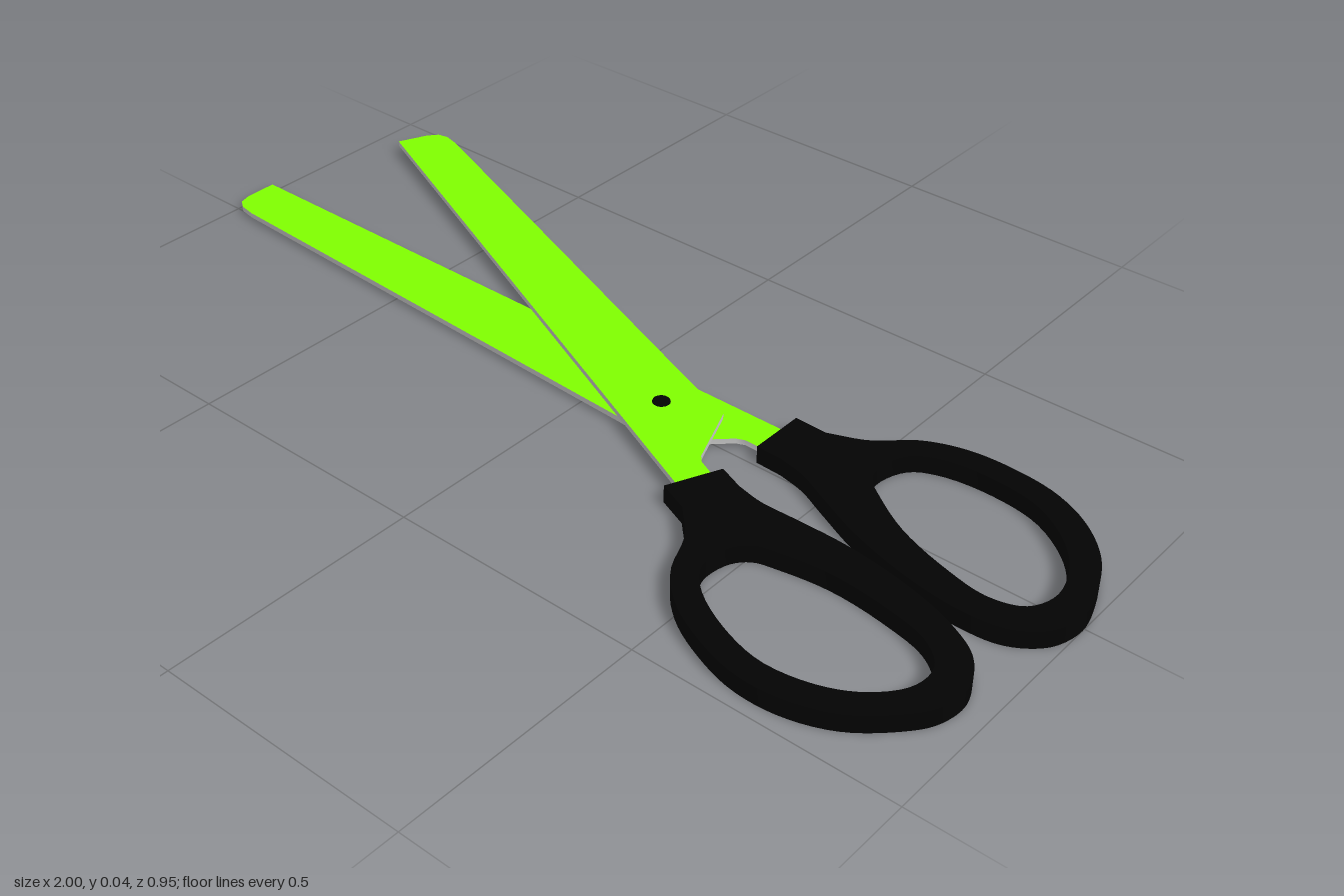
import * as THREE from 'three';
import { toCreasedNormals } from 'three/addons/utils/BufferGeometryUtils.js';

const material = (color) => new THREE.MeshStandardMaterial({ color });
const green = material(0x80ff00);
const steel = material(0x949494);
const brightSteel = material(0xcccccc);
const black = material(0x030303);
const navy = material(0x34466f);

// Plan outlines as [x, z]; the hole runs the opposite way round to the outlines
const bladeOutline = [
  [-1, -0.095], [-1, -0.03], [-0.993, -0.005], [-0.975, 0.008], [-0.94, 0.014],
  [0.1, 0.064], [0.2, 0.071], [0.294, -0.021], [0.31, -0.028], [0.42, -0.028], [0.42, -0.095],
];
const bowOuter = [
  [0.415, -0.118], [0.485, -0.149], [0.553, -0.208], [0.628, -0.237], [0.714, -0.243], [0.805, -0.231],
  [0.885, -0.193], [0.95, -0.13], [0.988, -0.05], [1, 0.01], [0.982, 0.072], [0.928, 0.115],
  [0.858, 0.126], [0.75, 0.115], [0.617, 0.078], [0.52, 0.035], [0.457, 0.006], [0.404, -0.006],
];
const bowInner = [
  [0.553, -0.061], [0.59, -0.03], [0.67, 0.019], [0.778, 0.056], [0.864, 0.07], [0.922, 0.05],
  [0.944, 0], [0.928, -0.067], [0.885, -0.126], [0.805, -0.179], [0.714, -0.195], [0.617, -0.186],
  [0.564, -0.158], [0.543, -0.1],
];

// Smooth curve through plan points
function smooth(points, closed, count) {
  const curve = new THREE.CatmullRomCurve3(points.map(([x, z]) => new THREE.Vector3(x, 0, z)), closed);
  const out = curve.getPoints(count).map((p) => [p.x, p.z]);
  return closed ? out.slice(0, -1) : out;
}

// Second half: mirrored and swung open about the pivot
const ANGLE = THREE.MathUtils.degToRad(24.05);
function swing([x, z]) {
  const u = x - 0.13, v = -(z + 0.01);
  const c = Math.cos(ANGLE), s = Math.sin(ANGLE);
  return [c * u - s * v + 0.144, s * u + c * v - 0.007];
}

const toVectors = (points) => points.map(([x, z]) => new THREE.Vector2(x, -z));

function makeShape(outline, hole) {
  const shape = new THREE.Shape(toVectors(outline));
  if (hole) shape.holes.push(new THREE.Path(toVectors(hole)));
  return shape;
}

// Closed flat plate between two heights, with its own underside, top and wall materials
function plate(name, shape, y0, y1, bottom, top, wall) {
  const geometry = new THREE.ExtrudeGeometry(shape, { depth: y1 - y0, bevelEnabled: false });
  geometry.rotateX(-Math.PI / 2).translate(0, y0, 0);
  const [lids, walls] = geometry.groups;
  geometry.clearGroups();
  geometry.addGroup(0, lids.count / 2, 0);
  geometry.addGroup(lids.count / 2, lids.count / 2, 1);
  geometry.addGroup(walls.start, walls.count, 2);
  const mesh = new THREE.Mesh(toCreasedNormals(geometry, 0.6), [bottom, top, wall]);
  mesh.name = name;
  return mesh;
}

function makeHalf(name, place, bladeY, underside) {
  const half = new THREE.Group();
  half.name = name;
  const blade = makeShape(bladeOutline.map(place));
  half.add(plate('blade', blade, bladeY, bladeY + 0.0105, steel, green, brightSteel));

  // Finger loop with a square collar around the blade neck
  const outer = [[0.35, -0.12], ...smooth(bowOuter, false, 80), [0.35, -0.008]];
  const handle = makeShape(outer.map(place), smooth(bowInner, true, 64).map(place));
  half.add(plate('handle', handle, 0, 0.035, underside, black, black));
  return half;
}

export function createModel() {
  const model = new THREE.Group();
  model.name = 'scissors';
  model.add(makeHalf('lowerHalf', (p) => p, 0.007, navy));
  model.add(makeHalf('upperHalf', swing, 0.018, black));

  // Pivot screw with low domed heads above and below the blades
  const profile = [
    [0, 0.001], [0.009, 0.003], [0.013, 0.0075], [0.008, 0.0075], [0.008, 0.028],
    [0.017, 0.028], [0.016, 0.031], [0.009, 0.035], [0, 0.0365],
  ].map(([r, y]) => new THREE.Vector2(r, y));
  const pivot = new THREE.Mesh(toCreasedNormals(new THREE.LatheGeometry(profile, 24), 0.7), black);
  pivot.position.set(0.134, 0, -0.01);
  pivot.name = 'pivot';
  model.add(pivot);
  return model;
}
